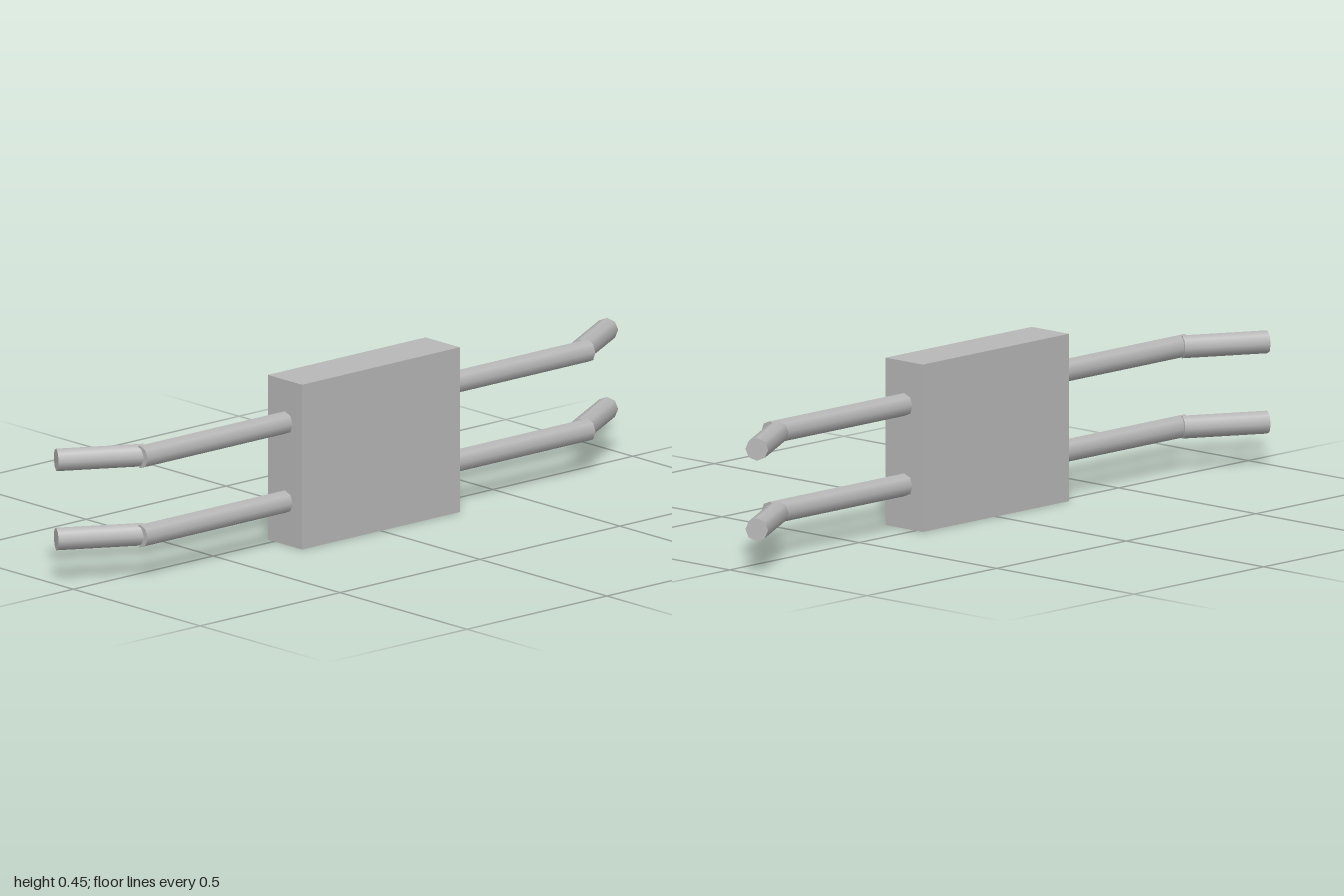
import * as THREE from 'three';

export function createModel() {
  const model = new THREE.Group();
  model.name = 'blockWithBentLeads';
  const grey = new THREE.MeshStandardMaterial({ color: 0xb8b8b8 });
  grey.name = 'grey';

  const X = 0.0425, RADIUS = 0.031, SIDES = 8;

  // Flat rectangular body
  const body = new THREE.Mesh(new THREE.BoxGeometry(0.135, 0.452, 0.564), grey);
  body.name = 'body';
  body.position.set(X, 0.226, 0);
  model.add(body);

  // Round rod between two points in the ground-parallel plane at height y
  function addRod(name, y, [x0, z0], [x1, z1]) {
    const dx = x1 - x0, dz = z1 - z0;
    const geometry = new THREE.CylinderGeometry(RADIUS, RADIUS, Math.hypot(dx, dz), SIDES);
    geometry.rotateX(Math.PI / 2);
    const rod = new THREE.Mesh(geometry, grey);
    rod.name = name;
    rod.rotation.y = Math.atan2(dx, dz);
    rod.position.set((x0 + x1) / 2, y, (z0 + z1) / 2);
    model.add(rod);
  }

  // Each straight lead passes through the body and has an angled tip at both ends
  for (const [level, y] of [['lower', 0.118], ['upper', 0.335]]) {
    addRod(level + 'Lead', y, [X, -0.8], [X, 0.8]);
    for (const [end, s] of [['Front', 1], ['Back', -1]]) {
      addRod(level + end + 'Tip', y, [0.034, 0.78 * s], [-0.084, 0.9845 * s]);
    }
  }
  return model;
}
